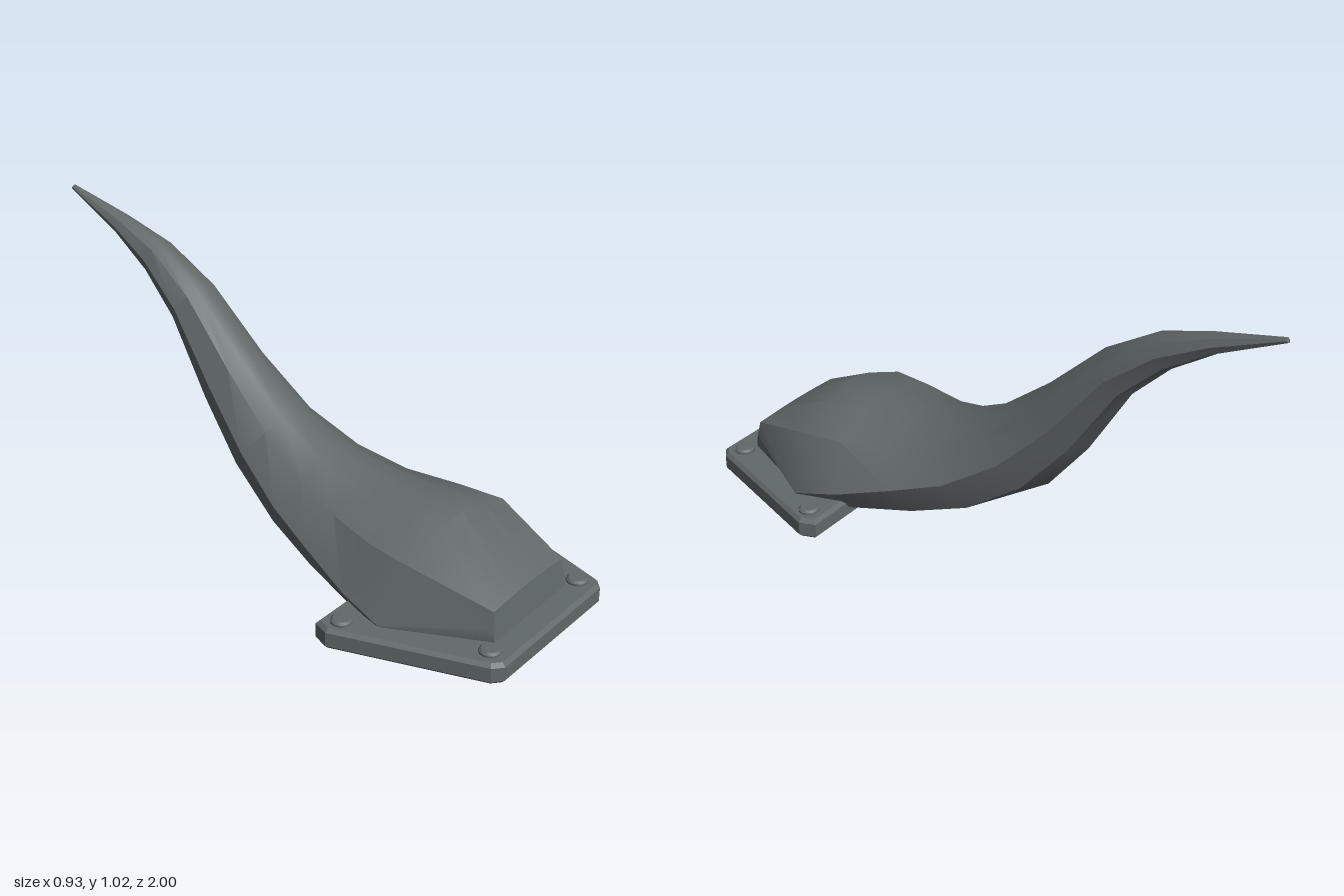
import * as THREE from 'three';
import { toCreasedNormals } from 'three/addons/utils/BufferGeometryUtils.js';

// Cross-sections from the blunt front to the tip:
// top [z, y], bottom [z, y], half width,
// then [width factor, height fraction] of the shoulder, side and lower edge.
const sections = [
  { top: [0.90, 0.175], bot: [0.92, 0.04], w: 0.20, sh: [0.95, 0.95], side: [1, 0.55], low: [1, 0.08] },
  { top: [0.65, 0.335], bot: [0.59, 0.04], w: 0.355, sh: [0.73, 0.73], side: [1, 0.12], low: [0.95, 0.0] },
  { top: [0.50, 0.335], bot: [0.42, 0.03], w: 0.325, sh: [0.74, 0.76], side: [1, 0.27], low: [0.83, 0.03] },
  { top: [0.33, 0.342], bot: [0.20, 0.045], w: 0.27, sh: [0.72, 0.78], side: [1, 0.42], low: [0.76, 0.09] },
  { top: [0.16, 0.38], bot: [0.00, 0.095], w: 0.215, sh: [0.7, 0.82], side: [1, 0.47], low: [0.72, 0.13] },
  { top: [-0.01, 0.46], bot: [-0.20, 0.23], w: 0.165, sh: [0.7, 0.83], side: [1, 0.5], low: [0.7, 0.15] },
  { top: [-0.20, 0.61], bot: [-0.35, 0.42], w: 0.125, sh: [0.7, 0.84], side: [1, 0.5], low: [0.7, 0.15] },
  { top: [-0.40, 0.80], bot: [-0.50, 0.67], w: 0.094, sh: [0.7, 0.84], side: [1, 0.5], low: [0.7, 0.15] },
  { top: [-0.58, 0.91], bot: [-0.63, 0.80], w: 0.066, sh: [0.7, 0.84], side: [1, 0.5], low: [0.7, 0.15] },
  { top: [-0.76, 0.965], bot: [-0.78, 0.90], w: 0.039, sh: [0.7, 0.84], side: [1, 0.5], low: [0.7, 0.15] },
  { top: [-0.99, 1.02], bot: [-1.0, 1.005], w: 0.009, sh: [0.7, 0.84], side: [1, 0.5], low: [0.7, 0.15] },
];

// One closed ring of points, clockwise as seen from the front
function ring({ top, bot, w, sh, side, low }) {
  const upper = [sh[0] * 0.45, 1 - (1 - sh[1]) * 0.27];
  const half = [upper, sh, side, low];
  const mirrored = half.map(([f, t]) => [-f, t]).reverse();
  return [[0, 1], ...half, [0, 0], ...mirrored].map(([f, t]) => [
    f * w,
    THREE.MathUtils.lerp(bot[1], top[1], t),
    THREE.MathUtils.lerp(bot[0], top[0], t),
  ]);
}

function hornGeometry() {
  const rings = sections.map(ring);
  const n = rings[0].length;
  const points = rings.flat();
  const index = [];
  for (let i = 0; i < rings.length - 1; i++) {
    for (let j = 0; j < n; j++) {
      const a = i * n + j, b = i * n + (j + 1) % n;
      index.push(a, b, b + n, a, b + n, a + n);
    }
  }
  // End caps
  const last = (rings.length - 1) * n;
  for (let j = 1; j < n - 1; j++) {
    index.push(0, j + 1, j, last, last + j, last + j + 1);
  }
  const g = new THREE.BufferGeometry();
  g.setAttribute('position', new THREE.Float32BufferAttribute(points.flat(), 3));
  g.setIndex(index);
  return toCreasedNormals(g, 0.6);
}

// Tapered plate with clipped corners and a small bevel
function plateGeometry() {
  const bevel = 0.012;
  const side = [[0.435, 0.442], [0.452, 0.485], [0.293, 0.965], [0.267, 0.988]];
  const outline = [...side, ...side.map(([x, z]) => [-x, z]).reverse()];
  const shape = new THREE.Shape(outline.map(([x, z]) => new THREE.Vector2(x, -z)));
  const g = new THREE.ExtrudeGeometry(shape, {
    depth: 0.072 - 2 * bevel, bevelEnabled: true, bevelThickness: bevel, bevelSize: bevel, bevelSegments: 1,
  });
  g.rotateX(-Math.PI / 2);
  g.translate(0, bevel, 0);
  return g;
}

export function createModel() {
  const model = new THREE.Group();
  const metal = new THREE.MeshStandardMaterial({ color: 0x626969 });
  metal.name = 'dark grey metal';

  const add = (name, geometry) => {
    const mesh = new THREE.Mesh(geometry, metal);
    mesh.name = name;
    model.add(mesh);
    return mesh;
  };

  add('hornBody', hornGeometry());
  add('basePlate', plateGeometry());

  // Rounded bolt heads at the four plate corners
  const profile = [[0.035, -0.01], [0.035, 0.009], [0.027, 0.016], [0, 0.017]].map(([r, y]) => new THREE.Vector2(r, y));
  const bolt = toCreasedNormals(new THREE.LatheGeometry(profile, 12), 0.6);
  for (const s of [-1, 1]) {
    const label = s > 0 ? 'left' : 'right';
    add(label + 'BackBolt', bolt).position.set(s * 0.4, 0.07, 0.495);
    add(label + 'FrontBolt', bolt).position.set(s * 0.247, 0.07, 0.93);
  }
  return model;
}
